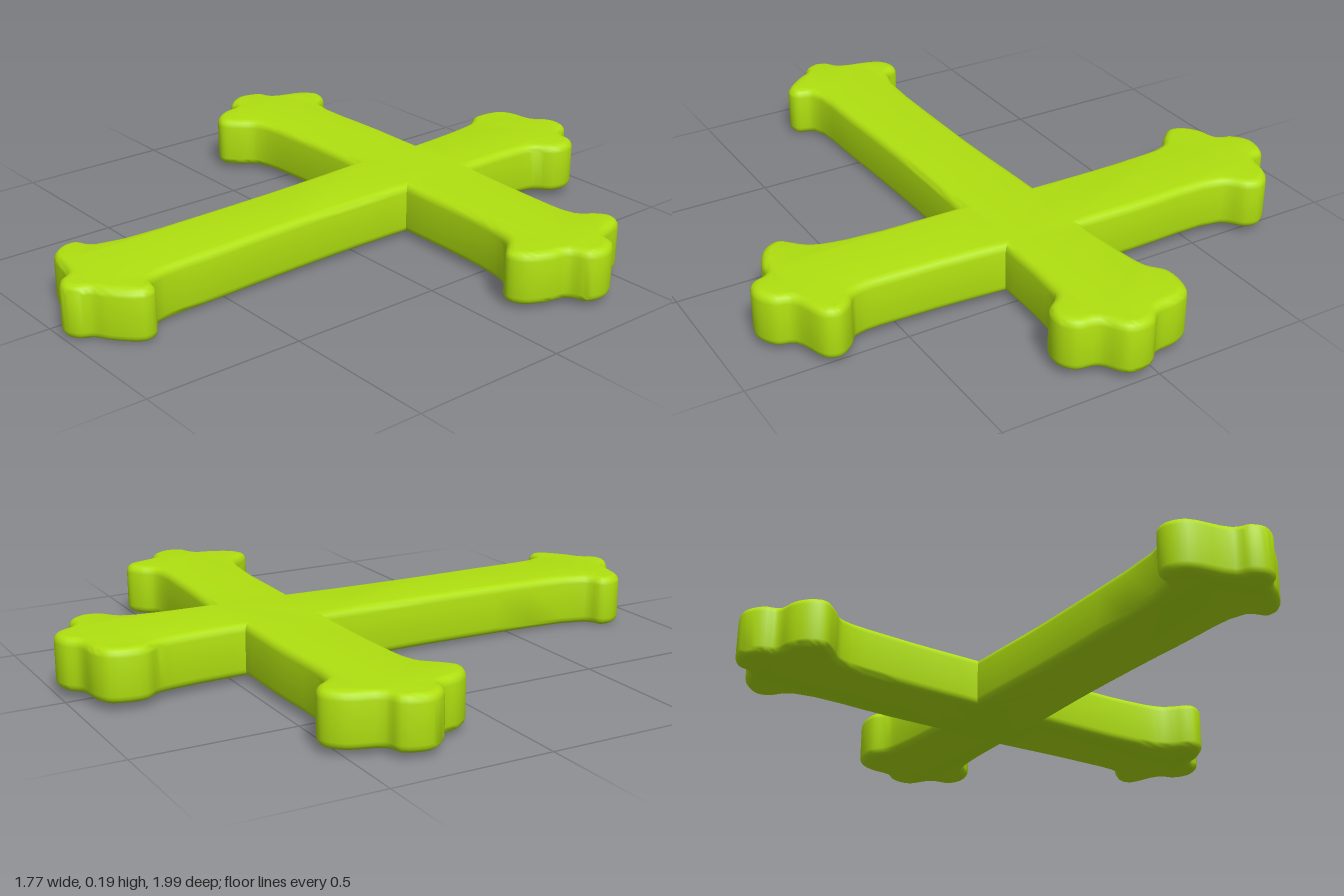
import * as THREE from 'three';
import { toCreasedNormals } from 'three/addons/utils/BufferGeometryUtils.js';

const DEPTH = 0.165, BEVEL = 0.025, TILT = 0.0115;

// Outline of each arm as [x, z], from one inner corner round the three-lobed tip to the next
const ARMS = {
  back: [[-0.095, -0.47], [-0.11, -0.66], [-0.127, -0.754], [-0.164, -0.81], [-0.148, -0.913], [-0.1, -0.944],
    [-0.02, -0.955], [0.02, -0.99], [0.063, -1], [0.106, -0.987], [0.15, -0.923], [0.212, -0.907],
    [0.243, -0.86], [0.233, -0.8], [0.185, -0.754], [0.169, -0.66], [0.164, -0.47]],
  left: [[0.164, -0.47], [0.455, -0.452], [0.64, -0.458], [0.677, -0.5], [0.72, -0.526], [0.762, -0.51],
    [0.804, -0.405], [0.852, -0.384], [0.884, -0.325], [0.868, -0.267], [0.815, -0.24], [0.799, -0.18],
    [0.762, -0.114], [0.709, -0.093], [0.635, -0.161], [0.508, -0.188], [0.164, -0.198]],
  front: [[0.164, -0.198], [0.159, 0.08], [0.169, 0.505], [0.19, 0.77], [0.243, 0.796], [0.25, 0.84],
    [0.18, 0.913], [0.138, 0.94], [0.116, 0.976], [0.074, 0.993], [0.032, 0.976], [0.005, 0.939],
    [-0.127, 0.902], [-0.164, 0.854], [-0.159, 0.807], [-0.111, 0.775], [-0.085, 0.3], [-0.1, -0.204]],
  right: [[-0.1, -0.204], [-0.39, -0.204], [-0.603, -0.183], [-0.65, -0.135], [-0.698, -0.098], [-0.746, -0.114],
    [-0.783, -0.161], [-0.8, -0.225], [-0.841, -0.241], [-0.881, -0.3], [-0.857, -0.384], [-0.81, -0.405],
    [-0.772, -0.505], [-0.72, -0.548], [-0.672, -0.537], [-0.62, -0.482], [-0.286, -0.474], [-0.095, -0.47]],
};

export function createModel() {
  // Smooth curve along each arm, sharp corners where the arms meet
  const outline = [];
  for (const arm of Object.values(ARMS)) {
    const curve = new THREE.CatmullRomCurve3(arm.map(([x, z]) => new THREE.Vector3(x, -z, 0)));
    const points = curve.getPoints((arm.length - 1) * 4);
    points.pop();
    outline.push(...points.map((p) => new THREE.Vector2(p.x, p.y)));
  }

  // Slab with rounded rims
  let geometry = new THREE.ExtrudeGeometry(new THREE.Shape(outline), {
    depth: DEPTH - 2 * BEVEL, bevelThickness: BEVEL, bevelSize: BEVEL, bevelOffset: -BEVEL, bevelSegments: 4,
  });
  geometry.rotateX(-Math.PI / 2);
  geometry.translate(0, BEVEL, 0);

  // Rises slightly towards the back
  const pos = geometry.attributes.position;
  for (let i = 0; i < pos.count; i++) pos.setY(i, pos.getY(i) + TILT * (1 - pos.getZ(i)));
  geometry = toCreasedNormals(geometry, 0.8);

  const cross = new THREE.Mesh(geometry, new THREE.MeshStandardMaterial({ color: 0xb0e010 }));
  cross.name = 'cross';
  const group = new THREE.Group();
  group.name = 'buddedCross';
  group.add(cross);
  return group;
}
